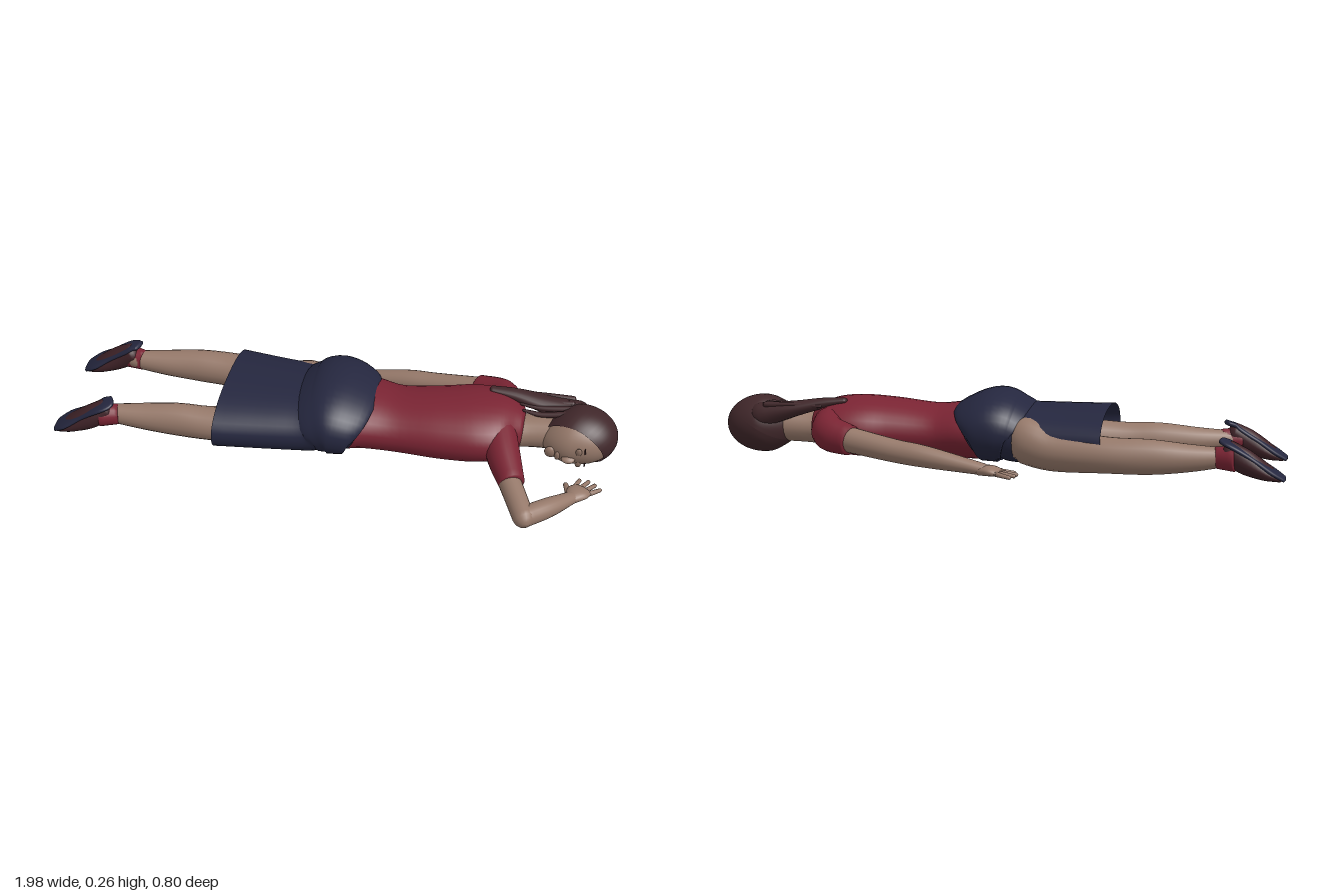
import * as THREE from 'three';

const material = (name, color) => {
  const m = new THREE.MeshStandardMaterial({ color });
  m.name = name;
  return m;
};

// Smooth closed body through sections [x, y, z, halfWidth, halfHeight]; flattened where it meets the ground.
function loft(sections, { seg = 20, steps = 5, cap = 1, power = 2 } = {}) {
  const path = new THREE.CatmullRomCurve3(sections.map(s => new THREE.Vector3(s[0], s[1], s[2])), false, 'catmullrom');
  const size = new THREE.CatmullRomCurve3(sections.map(s => new THREE.Vector3(s[3], s[4], 0)), false, 'catmullrom');
  const rings = [];
  const n = (sections.length - 1) * steps;
  for (let i = 0; i <= n; i++) {
    const c = path.getPoint(i / n), s = size.getPoint(i / n), t = path.getTangent(i / n);
    const base = { c, t, w: s.x, h: s.y };
    const roundEnd = dir => {
      const out = [];
      for (let k = 1; k <= 4; k++) {
        const a = k * Math.PI / 8, f = Math.max(Math.cos(a), 0.001);
        out.push({ c: c.clone().addScaledVector(t, dir * cap * Math.min(s.x, s.y) * Math.sin(a)), t, w: s.x * f, h: s.y * f });
      }
      return out;
    };
    if (i === 0 && cap) rings.push(...roundEnd(-1).reverse());
    rings.push(base);
    if (i === n && cap) rings.push(...roundEnd(1));
  }
  const pos = [], index = [], up = new THREE.Vector3(0, 1, 0);
  const bend = v => Math.sign(v) * Math.abs(v) ** (2 / power);
  rings.forEach((r, i) => {
    const side = r.t.clone().cross(up).normalize(), top = side.clone().cross(r.t);
    for (let j = 0; j < seg; j++) {
      const a = j / seg * Math.PI * 2;
      const p = r.c.clone().addScaledVector(side, r.w * bend(Math.cos(a))).addScaledVector(top, r.h * bend(Math.sin(a)));
      pos.push(p.x, Math.max(p.y, 0.002), p.z);
      if (i < rings.length - 1) {
        const A = i * seg + j, B = i * seg + (j + 1) % seg;
        index.push(A, A + seg, B, B, A + seg, B + seg);
      }
    }
  });
  const g = new THREE.BufferGeometry();
  g.setAttribute('position', new THREE.Float32BufferAttribute(pos, 3));
  g.setIndex(index);
  g.computeVertexNormals();
  return g;
}

export function createModel() {
  const model = new THREE.Group();
  model.name = 'lyingWoman';
  const skin = material('skin', 0x96796a);
  const red = material('red shirt', 0x7a2433);
  const navy = material('navy cloth', 0x25273f);
  navy.side = THREE.DoubleSide;
  const hairMat = material('brown hair', 0x40272a);
  const shoeMat = material('maroon shoe', 0x3e2227);

  const add = (name, geometry, mat, parent = model) => {
    const m = new THREE.Mesh(geometry, mat);
    m.name = name;
    parent.add(m);
    return m;
  };

  // Shirt
  add('shirt', loft([
    [0.02, 0.105, -0.03, 0.18, 0.1], [0.1, 0.108, -0.035, 0.17, 0.1], [0.22, 0.1, -0.03, 0.15, 0.096],
    [0.38, 0.106, -0.03, 0.163, 0.106], [0.5, 0.112, -0.04, 0.175, 0.107],
    [0.59, 0.113, -0.05, 0.155, 0.095], [0.65, 0.112, -0.05, 0.085, 0.065],
  ], { seg: 32, cap: 0.25 }), red);
  add('rightSleeve', loft([[0.59, 0.13, -0.13, 0.055, 0.06], [0.565, 0.11, -0.215, 0.06, 0.062], [0.48, 0.095, -0.262, 0.05, 0.053]], { cap: 0.2 }), red);
  add('leftSleeve', loft([[0.58, 0.13, 0.02, 0.06, 0.06], [0.61, 0.1, 0.12, 0.058, 0.058], [0.65, 0.075, 0.225, 0.045, 0.044]], { cap: 0.2 }), red);

  // Skirt, open at the hem
  add('skirt', loft([
    [0.09, 0.107, -0.032, 0.18, 0.1], [0.07, 0.117, -0.032, 0.213, 0.115], [0, 0.13, -0.032, 0.227, 0.128],
    [-0.05, 0.12, -0.03, 0.216, 0.115], [-0.08, 0.107, -0.03, 0.21, 0.103],
    [-0.2, 0.104, -0.032, 0.225, 0.102], [-0.39, 0.104, -0.037, 0.252, 0.102],
  ], { seg: 40, cap: 0, power: 2.2 }), navy);

  // Legs
  add('leftLeg', loft([
    [-0.1, 0.085, 0.06, 0.08, 0.075], [-0.4, 0.07, 0.083, 0.063, 0.06], [-0.55, 0.07, 0.085, 0.055, 0.06],
    [-0.68, 0.07, 0.09, 0.046, 0.047], [-0.8, 0.075, 0.1, 0.031, 0.032],
  ]), skin);
  add('rightLeg', loft([
    [-0.08, 0.1, -0.175, 0.05, 0.065], [-0.12, 0.1, -0.187, 0.072, 0.08], [-0.22, 0.075, -0.2, 0.083, 0.074],
    [-0.4, 0.07, -0.242, 0.066, 0.062], [-0.55, 0.07, -0.25, 0.056, 0.06],
    [-0.68, 0.07, -0.245, 0.046, 0.047], [-0.8, 0.075, -0.238, 0.031, 0.032],
  ]), skin);

  // Feet: sock, upper and upturned sole
  for (const [name, z, ankle] of [['left', 0.12, 0.1], ['right', -0.252, -0.238]]) {
    const foot = new THREE.Group();
    foot.name = name + 'Foot';
    model.add(foot);
    add('sock', loft([[-0.765, 0.074, ankle, 0.035, 0.037], [-0.83, 0.074, z - 0.005, 0.042, 0.043]], { cap: 0.2 }), red, foot);
    add('shoeUpper', loft([
      [-0.805, 0.1, ankle + (z - ankle) * 0.4, 0.036, 0.036], [-0.86, 0.066, z, 0.044, 0.042],
      [-0.93, 0.032, z, 0.05, 0.028], [-0.98, 0.012, z, 0.04, 0.01],
    ], { cap: 0.5 }), shoeMat, foot);
    add('shoeSole', loft([
      [-0.785, 0.133, ankle + (z - ankle) * 0.4, 0.028, 0.009], [-0.82, 0.117, z, 0.042, 0.01],
      [-0.89, 0.075, z, 0.042, 0.01], [-0.95, 0.037, z, 0.056, 0.01], [-0.99, 0.012, z, 0.04, 0.008],
    ], { cap: 0.8, power: 2.5 }), navy, foot);
  }

  // Arms
  add('leftUpperArm', loft([[0.62, 0.085, 0.17, 0.04, 0.038], [0.705, 0.046, 0.36, 0.037, 0.037]]), skin);
  add('leftForearm', loft([[0.707, 0.045, 0.357, 0.036, 0.036], [0.78, 0.037, 0.285, 0.035, 0.033], [0.855, 0.024, 0.2, 0.024, 0.019]]), skin);
  add('rightArm', loft([
    [0.5, 0.1, -0.255, 0.043, 0.045], [0.32, 0.072, -0.297, 0.039, 0.04],
    [0.2, 0.058, -0.32, 0.037, 0.037], [0, 0.028, -0.347, 0.025, 0.02],
  ]), skin);

  // Hands: palm, four spread fingers and a thumb along a heading
  function hand(name, x, z, angle, thumbSide) {
    const h = new THREE.Group();
    h.name = name;
    model.add(h);
    const at = (f, s, y, w, t) => [
      x + Math.cos(angle) * f - Math.sin(angle) * s, y, z + Math.sin(angle) * f + Math.cos(angle) * s, w, t];
    add('palm', loft([at(-0.01, 0, 0.024, 0.024, 0.017), at(0.03, 0, 0.025, 0.04, 0.018), at(0.06, 0, 0.02, 0.037, 0.013)], { cap: 0.5 }), skin, h);
    for (let i = 0; i < 4; i++) {
      const s = (i - 1.5) * 0.019, len = [0.042, 0.056, 0.055, 0.046][i];
      add('finger', loft([at(0.055, s, 0.02, 0.0095, 0.009), at(0.06 + len, s * 1.45, 0.013, 0.007, 0.007)], { seg: 8, steps: 3 }), skin, h);
    }
    add('thumb', loft([at(0.01, thumbSide * 0.02, 0.022, 0.013, 0.012), at(0.05, thumbSide * 0.062, 0.015, 0.009, 0.008)], { seg: 8, steps: 3 }), skin, h);
  }
  hand('leftHand', 0.855, 0.2, -1.02, -1);
  hand('rightHand', 0.005, -0.347, Math.PI + 0.1, -1);

  // Neck
  add('neck', loft([[0.6, 0.095, -0.045, 0.085, 0.06], [0.67, 0.1, -0.045, 0.062, 0.056], [0.79, 0.108, -0.045, 0.06, 0.06]]), skin);

  // Head: an ellipsoid narrowing to the chin, turned to one side
  const head = new THREE.Group();
  head.name = 'head';
  model.add(head);
  const shape = (v, grow = 0) => {
    const t = Math.max(0, -v.x), k = 1 - 0.3 * t * t;
    return v.set(0.853 + v.x * (0.13 + grow), 0.11 + v.y * (0.098 + grow) * k - 0.01 * t,
      -0.042 + v.z * (0.11 + grow) * k + 0.025 * t);
  };
  const headPart = (name, mat, axis, start, grow) => {
    const g = new THREE.SphereGeometry(1, 36, 28, 0, Math.PI * 2, start, Math.PI - start);
    g.applyQuaternion(new THREE.Quaternion().setFromUnitVectors(new THREE.Vector3(0, 1, 0), axis));
    const p = g.attributes.position, v = new THREE.Vector3();
    for (let i = 0; i < p.count; i++) {
      shape(v.fromBufferAttribute(p, i), grow);
      p.setXYZ(i, v.x, Math.max(v.y, 0.002), v.z);
    }
    g.computeVertexNormals();
    return add(name, g, mat, head);
  };
  headPart('face', skin, new THREE.Vector3(0, 1, 0), 0, 0);
  const hair = headPart('hairCap', hairMat, new THREE.Vector3(-0.5, -0.36, 0.78).normalize(), 1.27, 0.005);
  hair.material.side = THREE.DoubleSide;

  // Facial features placed by height and side on the face
  const feature = (name, mat, up, side, sx, sy, sz) => {
    const d = new THREE.Vector3(up, -0.3 + side * 0.93, 0.9 + side * 0.35).normalize();
    const m = add(name, new THREE.SphereGeometry(1, 14, 10), mat, head);
    m.position.copy(shape(d.clone()));
    m.rotation.x = 0.32;
    m.scale.set(sx, sy, sz);
  };
  feature('nose', skin, -0.2, 0, 0.024, 0.011, 0.018);
  feature('lips', skin, -0.55, 0, 0.01, 0.022, 0.008);
  feature('chin', skin, -0.9, 0, 0.022, 0.026, 0.014);
  for (const s of [-1, 1]) {
    feature('eyelid', skin, 0.06, s * 0.38, 0.011, 0.02, 0.007);
    feature('eyebrow', hairMat, 0.24, s * 0.4, 0.003, 0.02, 0.004);
  }

  // Long hair falling over the shoulder
  add('ponytail', loft([
    [0.84, 0.15, -0.11, 0.045, 0.045], [0.72, 0.175, -0.112, 0.042, 0.028],
    [0.62, 0.197, -0.115, 0.028, 0.019], [0.54, 0.208, -0.114, 0.018, 0.011],
  ]), hairMat);
  for (let i = 0; i < 4; i++) {
    const z = -0.135 + i * 0.03;
    add('hairStrand', loft([
      [0.82, 0.19, z, 0.012, 0.01], [0.72, 0.192 - i * 0.006, z, 0.011, 0.009],
      [0.62 + i * 0.012, 0.19 - i * 0.004, z - 0.008, 0.005, 0.005],
    ], { seg: 8 }), hairMat);
  }
  return model;
}
